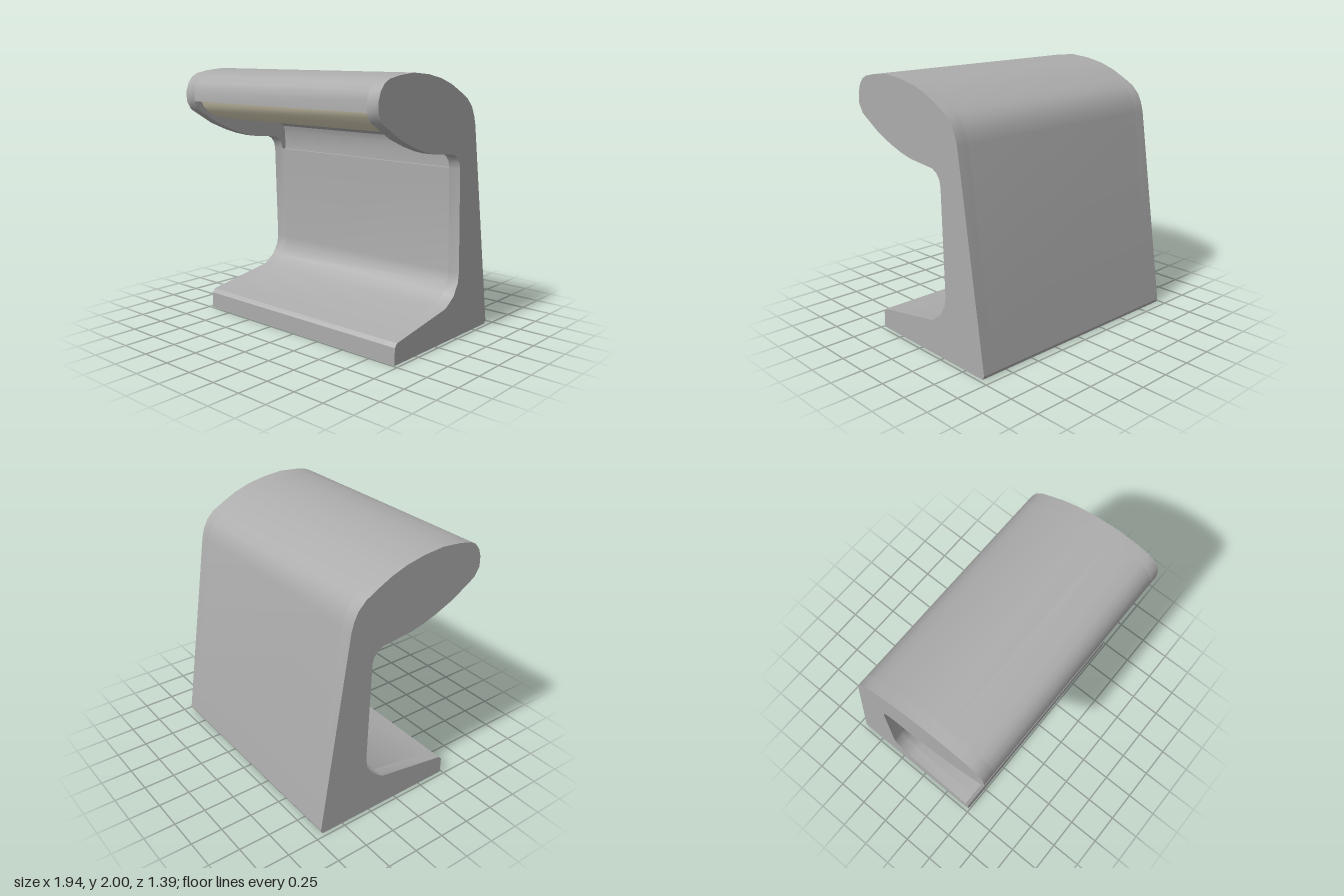
import * as THREE from 'three';
import { toCreasedNormals } from 'three/addons/utils/BufferGeometryUtils.js';

// Side profiles are lists of [z, y] points.
// Back, top and nose of the section, from the ground at the rear to the front lip
const backAndTop = [
  [-0.68, 0], [-0.695, 0.03], [-0.455, 1.6], [-0.435, 1.67], [-0.4, 1.74], [-0.34, 1.8],
  [-0.25, 1.85], [-0.13, 1.91], [0, 1.955], [0.15, 1.985], [0.32, 2], [0.48, 1.985],
  [0.58, 1.965], [0.63, 1.94], [0.67, 1.89], [0.69, 1.83], [0.692, 1.75],
];
// Underside of the closed head ends
const endUnderside = [
  [0.65, 1.68], [0.55, 1.62], [0.45, 1.56], [0.3, 1.497], [0.18, 1.457], [0.07, 1.43],
  [-0.18, 1.405], [-0.225, 1.38], [-0.255, 1.34], [-0.267, 1.29],
];
// Recess that holds the diffuser
const diffuserCurve = [
  [0.62, 1.75], [0.605, 1.71], [0.56, 1.665], [0.48, 1.625], [0.36, 1.595], [0.22, 1.575], [0.1, 1.57],
];
const recessUnderside = [
  [0.62, 1.75], [0.1, 1.75], [0.1, 1.57], [-0.1, 1.545], [-0.23, 1.52], [-0.28, 1.49],
  [-0.3, 1.44], [-0.3, 1.29], [-0.267, 1.29],
];
// Column front and sloping foot
const footFront = [
  [-0.29, 0.5], [-0.278, 0.42], [-0.225, 0.33], [-0.125, 0.26], [0.462, 0.158], [0.488, 0.13], [0.488, 0],
];

const HALF_WIDTH = 0.97;
const RECESS_HALF = 0.875;

// Extrudes a side profile along x between two planes
function slab(name, points, x0, x1, material) {
  const shape = new THREE.Shape(points.map(([z, y]) => new THREE.Vector2(z, y)));
  const extruded = new THREE.ExtrudeGeometry(shape, { depth: x1 - x0, bevelEnabled: false });
  extruded.rotateY(-Math.PI / 2).translate(x1, 0, 0);
  const mesh = new THREE.Mesh(toCreasedNormals(extruded, 0.6), material);
  mesh.name = name;
  return mesh;
}

export function createModel() {
  const grey = new THREE.MeshStandardMaterial({ color: 0xacacac });
  grey.name = 'grey casing';
  const cream = new THREE.MeshStandardMaterial({ color: 0xd8d0b6 });
  cream.name = 'cream diffuser';

  const group = new THREE.Group();
  group.name = 'curvedLamp';

  // Middle of the body, hollowed under the head
  const middle = [...backAndTop, ...recessUnderside, ...footFront];
  group.add(slab('body', middle, -RECESS_HALF, RECESS_HALF, grey));

  // Solid ends closing the recess
  const end = [...backAndTop, ...endUnderside, ...footFront];
  group.add(slab('leftEnd', end, RECESS_HALF, HALF_WIDTH, grey));
  group.add(slab('rightEnd', end, -HALF_WIDTH, -RECESS_HALF, grey));

  // Bulging light diffuser set in the recess
  group.add(slab('diffuser', [...diffuserCurve, [0.1, 1.75]], -RECESS_HALF, RECESS_HALF, cream));

  return group;
}
